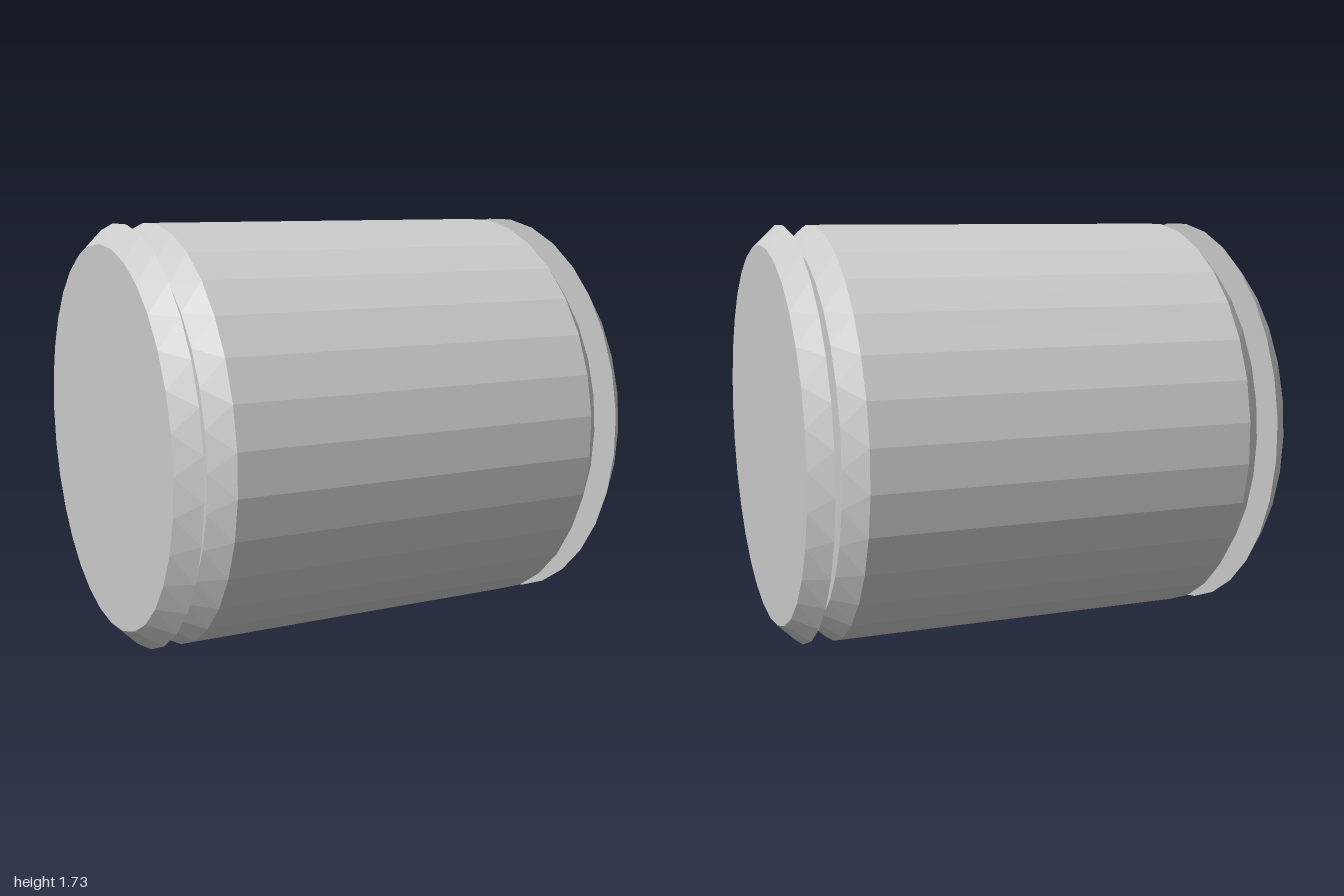
import * as THREE from 'three';
import { ConvexGeometry } from 'three/addons/geometries/ConvexGeometry.js';

const SIDES = 32;
const STEP = (Math.PI * 2) / SIDES;
const CENTRE_Y = 0.865;
const RIM = CENTRE_Y / Math.cos(STEP / 2); // flats of the rim touch the ground
const FACE = 0.787;

// Ring of corners around the x axis; shift turns it by a part of one side
function ring(x, radius, shift) {
  return Array.from({ length: SIDES }, (_, i) => {
    const a = (i + shift) * STEP;
    return new THREE.Vector3(x, Math.cos(a) * radius, Math.sin(a) * radius);
  });
}

// Wide rim, turned half a side against the smaller end face
const rim = (x) => ring(x, RIM, 0.5);
const face = (x) => ring(x, FACE, 0);

export function createModel() {
  const group = new THREE.Group();
  const material = new THREE.MeshStandardMaterial({ color: 0xcccccc, flatShading: true });

  function addPart(name, rings) {
    const mesh = new THREE.Mesh(new ConvexGeometry(rings.flat()), material);
    mesh.name = name;
    mesh.position.y = CENTRE_Y;
    group.add(mesh);
  }

  // Drum with faceted chamfers at both ends
  addPart('drum', [face(-0.872), rim(-0.788), rim(0.788), face(0.872)]);

  // Separate bevelled end discs, floating clear of the drum
  for (const [name, side] of [['leftEndDisc', 1], ['rightEndDisc', -1]]) {
    addPart(name, [rim(side * 0.916), face(side)]);
  }

  return group;
}
